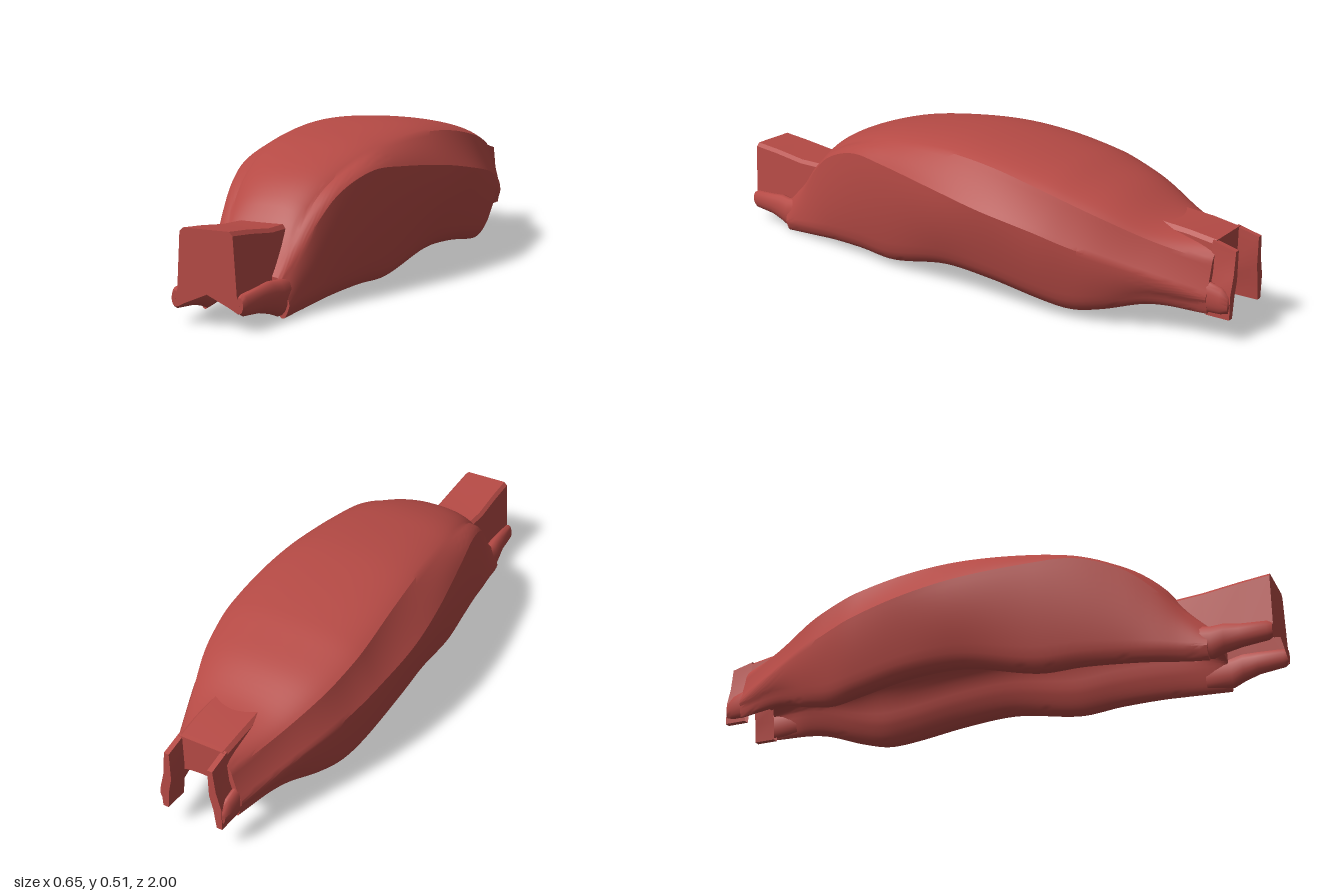
import * as THREE from 'three';
import { toCreasedNormals } from 'three/addons/utils/BufferGeometryUtils.js';

const paint = new THREE.MeshStandardMaterial({ color: 0xb54a45, side: THREE.DoubleSide });
paint.name = 'redPaint';

// Body stations, front to back: z, top y, shoulder x y, crease x y, side x y, bottom x y, tunnel roof y
const stations = [
  [0.80, 0.125, 0.11, 0.12, 0.135, 0.10, 0.155, 0.07, 0.16, -0.002, 0.105],
  [0.72, 0.215, 0.115, 0.20, 0.15, 0.17, 0.168, 0.12, 0.17, 0.005, 0.18],
  [0.65, 0.315, 0.13, 0.28, 0.168, 0.255, 0.186, 0.15, 0.182, 0.013, 0.25],
  [0.55, 0.395, 0.15, 0.36, 0.195, 0.34, 0.214, 0.18, 0.195, 0.022, 0.27],
  [0.40, 0.455, 0.18, 0.425, 0.235, 0.395, 0.25, 0.22, 0.217, 0.028, 0.28],
  [0.25, 0.487, 0.203, 0.456, 0.268, 0.393, 0.278, 0.24, 0.235, 0.025, 0.28],
  [0.00, 0.51, 0.23, 0.474, 0.312, 0.368, 0.315, 0.25, 0.265, 0.075, 0.28],
  [-0.20, 0.50, 0.246, 0.461, 0.325, 0.335, 0.316, 0.24, 0.275, 0.07, 0.28],
  [-0.40, 0.47, 0.253, 0.423, 0.307, 0.297, 0.302, 0.20, 0.265, 0.04, 0.27],
  [-0.50, 0.442, 0.243, 0.395, 0.287, 0.27, 0.284, 0.19, 0.25, 0.03, 0.27],
  [-0.60, 0.41, 0.222, 0.362, 0.26, 0.245, 0.26, 0.175, 0.23, 0.05, 0.25],
  [-0.75, 0.345, 0.168, 0.305, 0.205, 0.205, 0.208, 0.17, 0.185, 0.092, 0.23],
  [-0.93, 0.315, 0.105, 0.255, 0.135, 0.155, 0.14, 0.14, 0.132, 0.09, 0.20],
];

// Smooth interpolation of the station columns at z
function stationAt(z) {
  let i = 0;
  while (i < stations.length - 2 && z < stations[i + 1][0]) i++;
  const a = stations[i], b = stations[i + 1];
  const p = stations[Math.max(i - 1, 0)], n = stations[Math.min(i + 2, stations.length - 1)];
  const h = b[0] - a[0], t = (z - a[0]) / h, t2 = t * t, t3 = t2 * t;
  return a.map((v, k) => {
    const ma = (b[k] - p[k]) / (b[0] - p[0]) * h;
    const mb = (n[k] - v) / (n[0] - a[0]) * h;
    return (2 * t3 - 3 * t2 + 1) * v + (t3 - 2 * t2 + t) * ma + (3 * t2 - 2 * t3) * b[k] + (t3 - t2) * mb;
  });
}

function bezier(a, c, b, n) {
  const curve = new THREE.QuadraticBezierCurve(
    new THREE.Vector2(...a), new THREE.Vector2(...c), new THREE.Vector2(...b));
  return curve.getPoints(n).slice(0, -1).map((p) => [p.x, p.y]);
}

// Closed cross-section: rounded top, shoulder, flank, rolled lower lip and wide central tunnel
function bodySection(z) {
  const [, top, sx, sy, cx, cy, wx, wy, bx, by, roof] = stationAt(z);
  const bulge = 0.008 - 0.012 * THREE.MathUtils.smoothstep(-z, -0.2, 0.3);
  const innerX = Math.max(0.1, bx * 0.6);
  const half = [
    ...bezier([0, top], [sx * 0.72, top], [sx, sy], 12),
    ...bezier([sx, sy], [(sx + cx) / 2 + bulge, (sy + cy) / 2 + bulge], [cx, cy], 8),
    ...bezier([cx, cy], [wx, wy], [bx, by + 0.04], 10),
    ...bezier([bx, by + 0.04], [bx * 0.55 + innerX * 0.45, by - 0.06], [innerX, by + 0.08], 14),
    ...bezier([innerX, by + 0.08], [innerX * 0.85, roof], [0, roof], 12),
  ];
  const mirrored = half.slice(1).reverse().map(([x, y]) => [-x, y]);
  return [...half, [0, roof], ...mirrored];
}

// Skin between rings of [x, y, z] points, with sharp edges kept
function loft(rings, closed, crease = 0.42) {
  const n = rings[0].length, index = [];
  for (let i = 0; i < rings.length - 1; i++) {
    for (let j = 0; j < (closed ? n : n - 1); j++) {
      const k = (j + 1) % n, a = i * n + j, b = i * n + k;
      index.push(a, b, a + n, b, b + n, a + n);
    }
  }
  const geo = new THREE.BufferGeometry();
  geo.setAttribute('position', new THREE.Float32BufferAttribute(rings.flat(2), 3));
  geo.setIndex(index);
  return toCreasedNormals(geo, crease);
}

const polygon = (points) => new THREE.Shape(points.map(([x, y]) => new THREE.Vector2(x, y)));

export function createModel() {
  const model = new THREE.Group();
  model.name = 'fuelTank';
  const add = (name, geo) => {
    const mesh = new THREE.Mesh(geo, paint);
    mesh.name = name;
    model.add(mesh);
    return mesh;
  };

  // Main body and the end faces of its lobes
  const rings = [];
  const steps = 72;
  for (let i = 0; i <= steps; i++) {
    const z = 0.8 - (1.73 * i) / steps;
    rings.push(bodySection(z).map(([x, y]) => [x, y, z]));
  }
  add('tankBody', loft(rings, true));
  add('bodyFrontFace', new THREE.ShapeGeometry(polygon(bodySection(0.8)))).position.z = 0.8;
  const rear = add('bodyRearFace', new THREE.ShapeGeometry(polygon(bodySection(-0.93))));
  rear.rotation.y = Math.PI;
  rear.position.z = -0.93;

  // Front neck: open-bottomed cover with a notched front plate
  const cover = (z, w, low, top, base = w) => [
    [-base, low, z], [-w, top - 0.012, z], [-w + 0.012, top, z],
    [w - 0.012, top, z], [w, top - 0.012, z], [base, low, z],
  ];
  add('neckCover', loft([
    cover(1, 0.09, 0.05, 0.288, 0.105), cover(0.9, 0.09, 0.05, 0.278, 0.105),
    cover(0.78, 0.092, 0.06, 0.262, 0.105), cover(0.67, 0.085, 0.12, 0.258, 0.1),
  ], false));
  add('neckFrontPlate', new THREE.ShapeGeometry(polygon([
    [-0.105, 0.05], [-0.075, 0.065], [0, 0.097], [0.075, 0.065], [0.105, 0.05],
    [0.09, 0.276], [0.078, 0.288], [-0.078, 0.288], [-0.09, 0.276],
  ]))).position.z = 1;

  // Rear saddle with its recessed back plate
  add('rearSaddle', loft([
    cover(-0.72, 0.09, 0.2, 0.345, 0.1), cover(-0.84, 0.09, 0.18, 0.334, 0.1),
    cover(-0.93, 0.088, 0.17, 0.32, 0.1),
  ], false));
  const back = add('rearPlate', new THREE.PlaneGeometry(0.17, 0.12));
  back.rotation.y = Math.PI;
  back.position.set(0, 0.26, -0.93);

  // Rear tabs: thin upright walls that flare outward towards the foot
  const tab = (side, top) => {
    const points = [
      [0.07, top], [0.088, top], [0.096, 0.22], [0.112, 0.16],
      [0.11, 0.08], [0.09, 0.08], [0.082, 0.15], [0.07, 0.2],
    ].map(([x, y]) => [side * x, y]);
    return side > 0 ? points : points.reverse();
  };
  // Rounded feet lofted from ellipses: z, x, y, half width, half height
  const foot = (side, list) => loft(list.map(([z, x, y, rx, ry]) =>
    Array.from({ length: 16 }, (_, i) => {
      const a = (i / 16) * Math.PI * 2;
      return [side * x + Math.sin(a) * rx, y + Math.cos(a) * ry, z];
    })), true, 0.9);
  for (const [side, label] of [[1, 'left'], [-1, 'right']]) {
    add(label + 'RearTab', loft([
      tab(side, 0.32).map(([x, y]) => [x, y, -0.92]), tab(side, 0.3).map(([x, y]) => [x, y, -1]),
    ], true));
    const end = add(label + 'RearTabEnd', new THREE.ShapeGeometry(polygon(tab(-side, 0.3))));
    end.rotation.y = Math.PI;
    end.position.z = -1;
    add(label + 'FrontFoot', foot(side, [
      [1, 0.11, 0.075, 0.001, 0.001], [1, 0.11, 0.075, 0.012, 0.024], [0.985, 0.112, 0.075, 0.019, 0.033],
      [0.9, 0.114, 0.073, 0.024, 0.04], [0.85, 0.12, 0.07, 0.028, 0.05],
      [0.81, 0.124, 0.06, 0.03, 0.056], [0.72, 0.135, 0.07, 0.025, 0.055],
    ]));
    add(label + 'RearFoot', foot(side, [
      [-0.84, 0.128, 0.155, 0.02, 0.05], [-0.92, 0.114, 0.145, 0.02, 0.052], [-0.97, 0.11, 0.138, 0.02, 0.044],
      [-0.995, 0.106, 0.13, 0.015, 0.03], [-1, 0.106, 0.13, 0.001, 0.001],
    ]));
  }
  return model;
}
